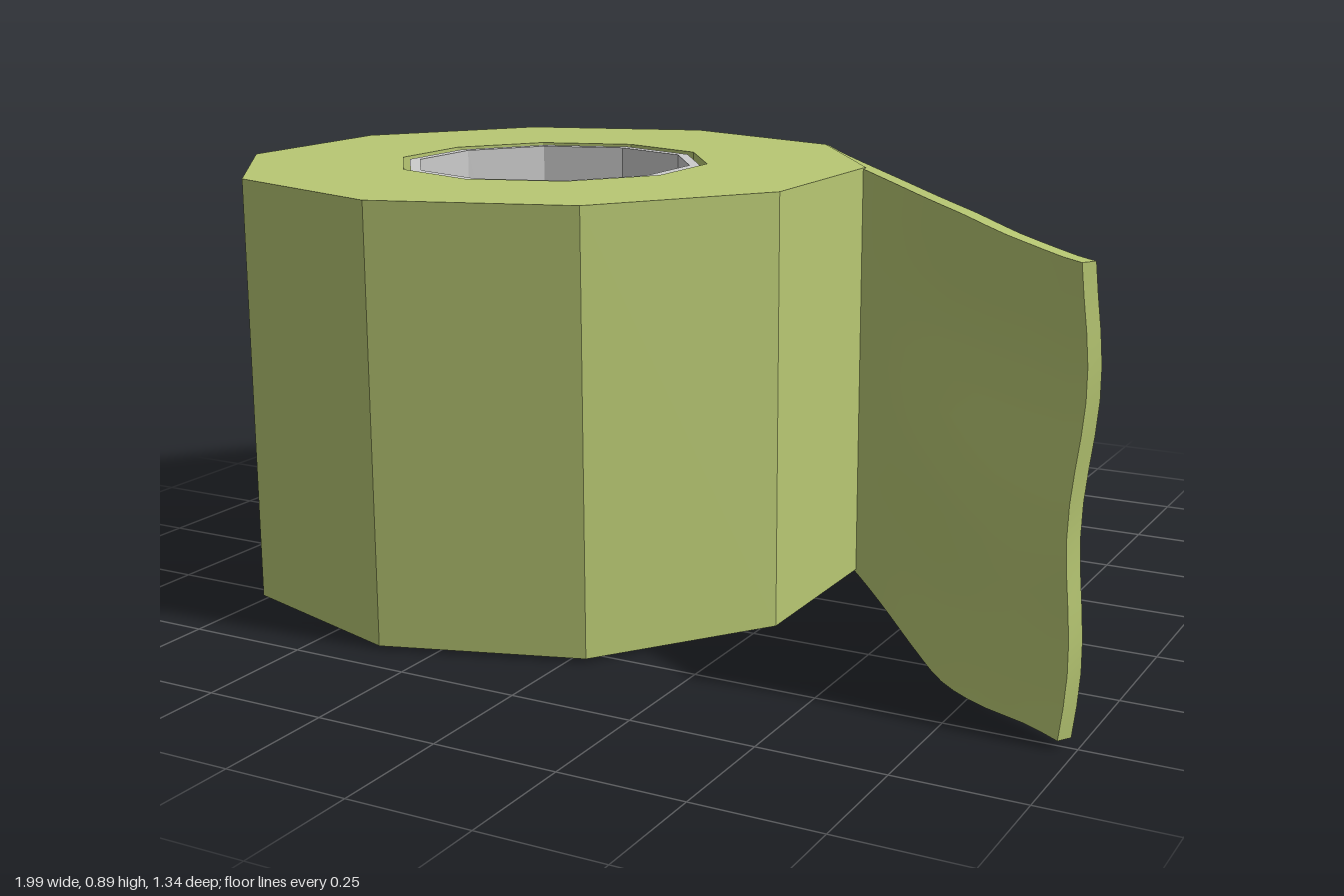
import * as THREE from 'three';

const green = new THREE.MeshStandardMaterial({ color: 0xb8c873, flatShading: true });
const sheetGreen = new THREE.MeshStandardMaterial({ color: 0xb8c873 });
const grey = new THREE.MeshStandardMaterial({ color: 0xcccccc, flatShading: true });
const ROLL_X = -0.36;

// Ten-sided ring standing upright, with a corner pointing along z
function ring(name, outer, inner, bottom, top, material) {
  const profile = [[inner, bottom], [outer, bottom], [outer, top], [inner, top], [inner, bottom]]
    .map(([r, y]) => new THREE.Vector2(r, y));
  const mesh = new THREE.Mesh(new THREE.LatheGeometry(profile, 10), material);
  mesh.name = name;
  mesh.position.x = ROLL_X;
  return mesh;
}

// Loose sheet: a thin slab bent along a path seen from above, waving towards its free end
function looseSheet() {
  const path = new THREE.CatmullRomCurve3([
    [0.038, -0.547], [0.12, -0.436], [0.285, -0.23], [0.45, -0.03], [0.6, 0.15],
    [0.7, 0.262], [0.8, 0.34], [0.9, 0.395], [0.985, 0.452],
  ].map(([x, z]) => new THREE.Vector3(x, 0, z)));
  const geometry = new THREE.BoxGeometry(1, 1, 1, 28, 14, 1);
  const pos = geometry.attributes.position;
  for (let i = 0; i < pos.count; i++) {
    const u = pos.getX(i) + 0.5;
    const v = pos.getY(i) + 0.5;
    const depth = (pos.getZ(i) + 0.5) * 0.03 - 0.003;
    const p = path.getPointAt(u);
    const t = path.getTangentAt(u);
    const wave = THREE.MathUtils.smoothstep(u, 0.3, 0.9);
    const droop = THREE.MathUtils.smoothstep(u, 0.72, 1);
    const bottom = 0.003 + 0.017 * droop;
    const top = 0.888 - 0.038 * droop;
    pos.setXYZ(
      i,
      p.x - t.z * depth + wave * 0.009 * Math.cos((v - 0.16) * Math.PI * 3.4),
      THREE.MathUtils.lerp(bottom, top, v),
      p.z + t.x * depth + wave * (0.045 * (1 - v) - 0.015 * Math.sin(Math.PI * v * v)),
    );
  }
  geometry.computeVertexNormals();
  const mesh = new THREE.Mesh(geometry, sheetGreen);
  mesh.name = 'looseSheet';
  return mesh;
}

export function createModel() {
  const group = new THREE.Group();
  group.name = 'paperRoll';
  group.add(
    ring('roll', 0.672, 0.335, 0.01, 0.89, green),
    ring('coreTube', 0.32, 0.297, 0.006, 0.886, grey),
    looseSheet(),
  );
  return group;
}
